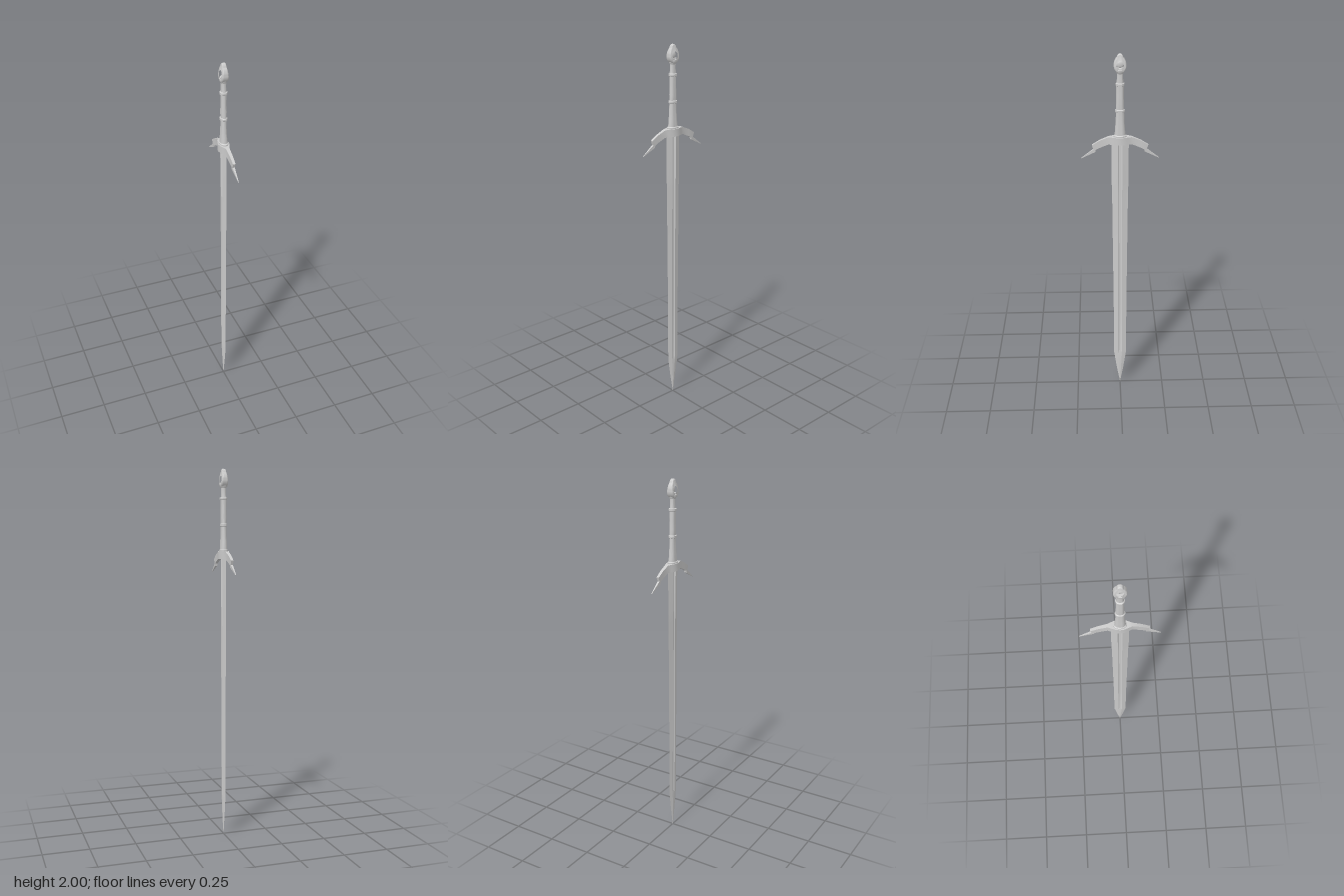
import * as THREE from 'three';
import { toCreasedNormals } from 'three/addons/utils/BufferGeometryUtils.js';

const material = new THREE.MeshStandardMaterial({ color: 0xcccccc });

// Skin a list of equal-sized rings (counter-clockwise seen from the far end) and cap both ends.
function loft(rings, crease) {
  const pos = [];
  const tri = (a, b, c) => pos.push(...a, ...b, ...c);
  const n = rings[0].length;
  const centre = (ring) => [0, 1, 2].map((k) => ring.reduce((s, p) => s + p[k], 0) / n);
  const first = rings[0], last = rings[rings.length - 1];
  const c0 = centre(first), c1 = centre(last);
  for (let j = 0; j < n; j++) {
    const k = (j + 1) % n;
    for (let i = 0; i < rings.length - 1; i++) {
      const a = rings[i], b = rings[i + 1];
      tri(a[j], a[k], b[k]);
      tri(a[j], b[k], b[j]);
    }
    tri(c0, first[k], first[j]);
    tri(c1, last[j], last[k]);
  }
  const g = new THREE.BufferGeometry();
  g.setAttribute('position', new THREE.Float32BufferAttribute(pos, 3));
  g.computeVertexNormals();
  return toCreasedNormals(g, crease);
}

function ellipse(y, rx, rz, sides = 20) {
  return Array.from({ length: sides }, (_, i) => {
    const a = (i / sides) * Math.PI * 2;
    return [Math.sin(a) * rx, y, Math.cos(a) * rz];
  });
}

// Double-edged section: ridges at z = ±r with half thickness t, groove floor at half thickness f
function bladeRing([y, w, r, t, f]) {
  return [
    [0, y, w], [t, y, r], [f, y, r * 0.4], [f, y, -r * 0.4], [t, y, -r],
    [0, y, -w], [-t, y, -r], [-f, y, -r * 0.4], [-f, y, r * 0.4], [-t, y, r],
  ];
}

export function createModel() {
  const model = new THREE.Group();
  const add = (name, geometry) => {
    const mesh = new THREE.Mesh(geometry, material);
    mesh.name = name;
    model.add(mesh);
    return mesh;
  };

  // Blade from tip to guard
  add('blade', loft([
    [0.0, 0.0006, 0.0002, 0.0005, 0.0005],
    [0.1, 0.018, 0.005, 0.005, 0.005],
    [0.21, 0.034, 0.011, 0.006, 0.006],
    [0.23, 0.035, 0.011, 0.006, 0.003],
    [0.57, 0.036, 0.011, 0.007, 0.003],
    [0.9, 0.039, 0.011, 0.007, 0.003],
    [1.25, 0.042, 0.011, 0.008, 0.004],
    [1.31, 0.044, 0.012, 0.0105, 0.004],
    [1.55, 0.045, 0.012, 0.011, 0.004],
  ].map(bladeRing), 0.2));

  // Crossguard: each section is [bottom z, bottom y, top z, top y, half width]
  const arm = [
    [0, 1.53, 0, 1.57, 0.028],
    [0.02, 1.53, 0.02, 1.57, 0.0255],
    [0.04, 1.53, 0.04, 1.57, 0.018],
    [0.06, 1.53, 0.06, 1.569, 0.0095],
    [0.1, 1.513, 0.105, 1.55, 0.008],
    [0.125, 1.50, 0.145, 1.525, 0.007],
    [0.127, 1.488, 0.137, 1.502, 0.006],
    [0.201, 1.451, 0.202, 1.453, 0.0015],
  ];
  const guardRing = (s, [bz, by, tz, ty, w]) =>
    [[-w, by, s * bz], [w, by, s * bz], [w, ty, s * tz], [-w, ty, s * tz]];
  add('crossguard', loft([
    ...arm.slice(1).reverse().map((a) => guardRing(-1, a)),
    ...arm.map((a) => guardRing(1, a)),
  ], 0.5));

  // Grip with raised bands and a flared base
  add('grip', loft([
    [1.56, 0.023, 0.034], [1.576, 0.023, 0.034], [1.58, 0.019, 0.028],
    [1.62, 0.017, 0.025], [1.66, 0.015, 0.022], [1.70, 0.014, 0.021],
    [1.703, 0.019, 0.025], [1.713, 0.019, 0.025], [1.716, 0.014, 0.021],
    [1.745, 0.016, 0.02], [1.79, 0.014, 0.019], [1.838, 0.015, 0.019],
    [1.841, 0.02, 0.022], [1.851, 0.02, 0.022], [1.854, 0.014, 0.018],
    [1.88, 0.013, 0.015], [1.91, 0.014, 0.016],
  ].map((r) => ellipse(...r)), 0.6));

  // Collar under the pommel
  add('pommelCollar', loft([
    [1.9, 0.014, 0.016], [1.912, 0.021, 0.021], [1.922, 0.021, 0.022], [1.93, 0.015, 0.02],
  ].map((r) => ellipse(...r)), 0.6));

  // Pommel: pointed ring pierced from side to side, with a recessed lens
  const shape = new THREE.Shape();
  shape.moveTo(-0.013, 1.912);
  shape.bezierCurveTo(-0.036, 1.93, -0.026, 1.968, -0.011, 1.981);
  shape.quadraticCurveTo(-0.008, 1.995, 0, 1.995);
  shape.quadraticCurveTo(0.008, 1.995, 0.011, 1.981);
  shape.bezierCurveTo(0.026, 1.968, 0.036, 1.93, 0.013, 1.912);
  shape.closePath();
  shape.holes.push(new THREE.Path().absarc(0, 1.946, 0.018, 0, Math.PI * 2, true));
  const pommel = new THREE.ExtrudeGeometry(shape, {
    depth: 0.018, curveSegments: 10,
    bevelEnabled: true, bevelThickness: 0.009, bevelSize: 0.005, bevelSegments: 3,
  });
  pommel.translate(0, 0, -0.009).rotateY(Math.PI / 2);
  // Taper the thickness toward the crown
  const p = pommel.attributes.position;
  for (let i = 0; i < p.count; i++) {
    const k = THREE.MathUtils.clamp((p.getY(i) - 1.93) / 0.07, 0, 1);
    p.setX(i, p.getX(i) * (1 - 0.45 * k));
  }
  pommel.computeVertexNormals();
  add('pommel', toCreasedNormals(pommel, 0.7));

  const lens = add('pommelLens', new THREE.SphereGeometry(0.019, 20, 12));
  lens.scale.x = 0.4;
  lens.position.y = 1.946;

  return model;
}
